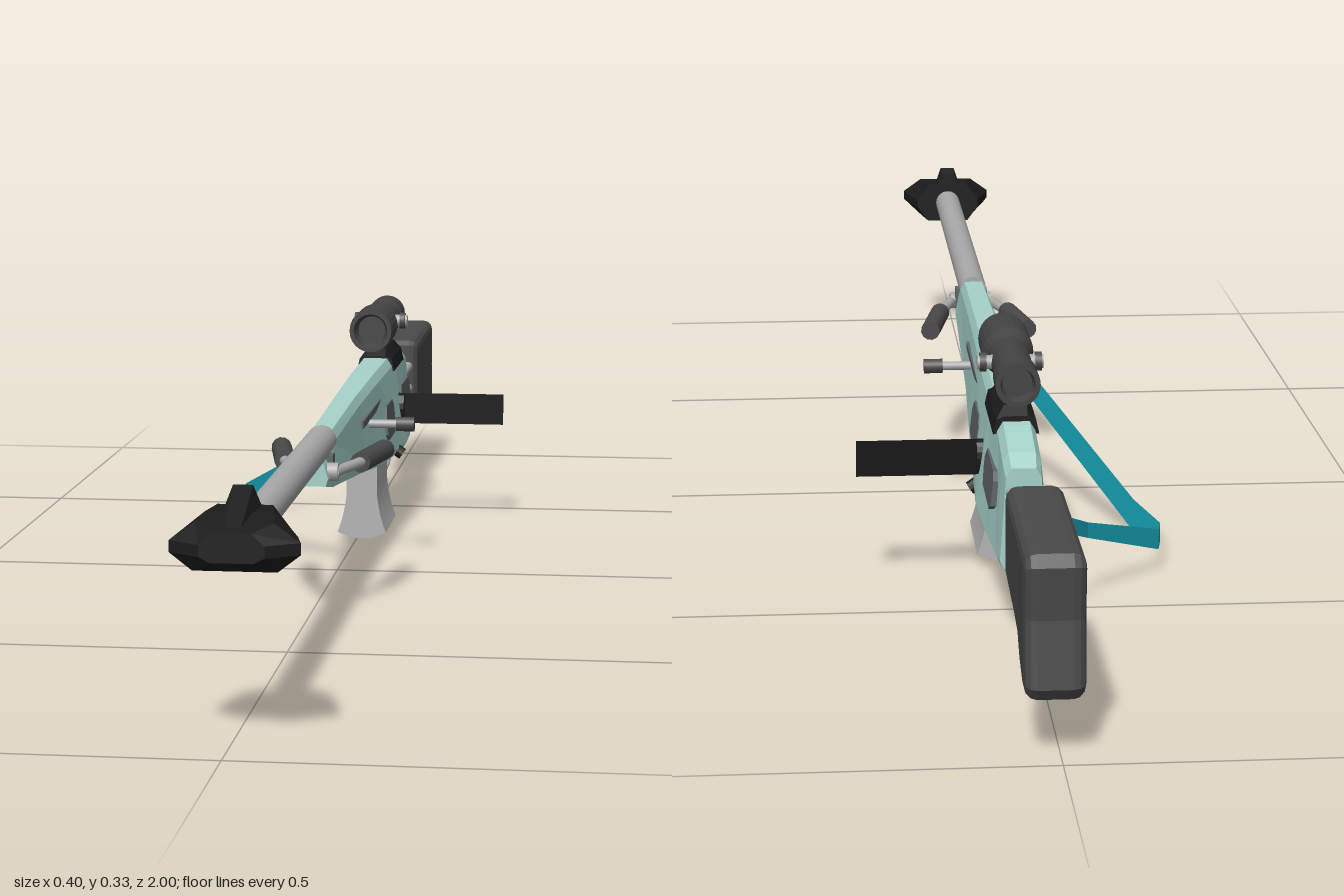
import * as THREE from 'three';

const CX = 0.0115; // centre line of the body
const mat = (color, extra = {}) => new THREE.MeshStandardMaterial({ color, ...extra });
const flat = { flatShading: true };
const M = {
  body: mat(0xa6d3cb, flat), black: mat(0x1c1c1c, flat), dark: mat(0x4a4a4a),
  panel: mat(0x606565, flat), metal: mat(0xaaaaaa), magazine: mat(0xb4b4b4, flat),
  strap: mat(0x17a5b8, { side: THREE.DoubleSide, flatShading: true }),
  plate: mat(0x111111, { side: THREE.DoubleSide }),
};

export function createModel() {
  const root = new THREE.Group();
  const add = (name, geo, material, x = CX, y = 0, z = 0) => {
    const m = new THREE.Mesh(geo, material);
    m.name = name;
    m.position.set(x, y, z);
    root.add(m);
    return m;
  };

  // Skin between cross-sections listed front to back, each counter-clockwise
  const loft = (sections) => {
    const n = sections[0].pts.length, pos = [], idx = [];
    sections.forEach(s => s.pts.forEach(([x, y]) => pos.push(x, y, s.z)));
    for (let i = 0; i < sections.length - 1; i++) for (let j = 0; j < n; j++) {
      const a = i * n + j, b = i * n + (j + 1) % n;
      idx.push(a, a + n, b, b, a + n, b + n);
    }
    const last = (sections.length - 1) * n;
    for (let j = 1; j < n - 1; j++) idx.push(0, j, j + 1, last, last + j + 1, last + j);
    const g = new THREE.BufferGeometry();
    g.setAttribute('position', new THREE.Float32BufferAttribute(pos, 3));
    g.setIndex(idx);
    g.computeVertexNormals();
    return g;
  };

  // Side outline of [z, y] points given thickness along x
  const sidePlate = (pts, width, bevel = 0) => {
    const shape = new THREE.Shape(pts.map(([z, y]) => new THREE.Vector2(-z, y)));
    const g = new THREE.ExtrudeGeometry(shape, {
      depth: width - 2 * bevel, bevelEnabled: bevel > 0, bevelSize: bevel,
      bevelThickness: bevel, bevelOffset: -bevel, bevelSegments: 3,
    });
    g.translate(0, 0, bevel - width / 2);
    return g.rotateY(Math.PI / 2);
  };

  // Rod between two points
  const rod = (name, a, b, r, material, sides = 12, r2 = r) => {
    const A = new THREE.Vector3(...a), B = new THREE.Vector3(...b), d = B.clone().sub(A);
    const m = add(name, new THREE.CylinderGeometry(r2, r, d.length(), sides), material);
    m.position.copy(A).add(B).multiplyScalar(0.5);
    m.quaternion.setFromUnitVectors(new THREE.Vector3(0, 1, 0), d.normalize());
    return m;
  };

  // Receiver: [z, bottom half width, top half width, bottom y, top y]
  add('receiver', loft([
    [0.345, 0.019, 0.015, 0.178, 0.214], [0.30, 0.024, 0.018, 0.17, 0.222],
    [0.28, 0.024, 0.018, 0.168, 0.236], [0, 0.028, 0.02, 0.138, 0.244],
    [-0.2, 0.035, 0.023, 0.115, 0.247], [-0.42, 0.043, 0.025, 0.104, 0.247],
    [-0.53, 0.037, 0.023, 0.098, 0.243], [-0.6, 0.031, 0.023, 0.095, 0.23],
    [-0.627, 0.028, 0.021, 0.095, 0.218],
  ].map(([z, b, t, y0, y1]) => ({
    z, pts: [[-b * 0.85, y0], [b * 0.85, y0], [b, y0 + 0.01], [t, y1 - 0.012],
      [t * 0.7, y1], [-t * 0.7, y1], [-t, y1 - 0.012], [-b, y0 + 0.01]],
  }))), M.body);

  // Barrel and muzzle brake
  rod('barrel', [CX, 0.224, 0.26], [CX, 0.224, 0.92], 0.0195, M.metal, 20);
  add('muzzleBrake', loft([
    [0.998, 0.035, 0.211, 0.243], [0.975, 0.07, 0.198, 0.25],
    [0.94, 0.062, 0.194, 0.255], [0.9, 0.05, 0.194, 0.256],
  ].map(([z, h, y0, y1]) => ({
    z, pts: [[-h * 0.65, y0], [h * 0.65, y0], [h, 0.217], [h, 0.23], [h * 0.6, y1],
      [-h * 0.6, y1], [-h, 0.23], [-h, 0.217]],
  }))), M.black);
  add('muzzleFin', loft([[0.985, 0.02, 0.248], [0.915, 0.024, 0.28], [0.9, 0.024, 0.272]].map(
    ([z, h, y]) => ({ z, pts: [[-h, 0.24], [h, 0.24], [h * 0.45, y], [-h * 0.45, y]] }))), M.black);

  // Side panels, right then left pair: [side, z front, z back]
  for (const [s, z0, z1] of [[1, -0.22, -0.325], [1, -0.44, -0.57], [-1, 0.01, -0.13], [-1, -0.2, -0.35]]) {
    const h = (z0 - z1) / 2, zc = (z0 + z1) / 2;
    const g = sidePlate([[h, 0.008], [h - 0.02, 0.024], [-h + 0.012, 0.024], [-h, 0.015],
      [-h, -0.016], [-h + 0.015, -0.024], [h - 0.012, -0.024], [h, -0.016]], 0.014);
    const out = zc > -0.1 ? 0.021 : zc > -0.4 ? 0.0275 : 0.0265;
    add('sidePanel', g, M.panel, CX + s * out, 0.17, zc).rotation.z = s * 0.11;
  }

  // Bolt slot, bolt handle and controls
  add('boltSlot', new THREE.BoxGeometry(0.008, 0.01, 0.38), M.panel, CX + 0.022, 0.205, -0.18);
  rod('boltHandle', [CX + 0.015, 0.196, -0.065], [0.085, 0.196, -0.065], 0.006, M.metal);
  rod('boltKnob', [0.075, 0.196, -0.065], [0.1, 0.196, -0.065], 0.01, M.dark);
  rod('selectorKnob', [CX + 0.03, 0.118, -0.342], [0.056, 0.108, -0.342], 0.009, M.black);
  const boss = rod('sideBoss', [CX + 0.02, 0.168, -0.405], [0.052, 0.168, -0.405], 0.021, M.black, 16);
  boss.scale.z = 0.55;
  add('sidePlate', new THREE.PlaneGeometry(0.165, 0.046), M.plate, 0.119, 0.168, -0.405);

  // Folded bipod
  for (const s of [-1, 1]) {
    rod('bipodHinge', [CX + s * 0.012, 0.194, 0.325], [CX + s * 0.03, 0.194, 0.325], 0.012, M.metal);
    rod('bipodLeg', [CX + s * 0.025, 0.194, 0.33], [CX + s * 0.052, 0.194, 0.24], 0.007, M.metal);
    rod('bipodFoot', [CX + s * 0.049, 0.194, 0.25], [CX + s * 0.069, 0.194, 0.14], 0.0135, M.dark);
  }
  add('bipodClamp', new THREE.BoxGeometry(0.046, 0.03, 0.022), M.panel, CX, 0.2, 0.315);

  // Flared magazine
  const mag = new THREE.Shape();
  mag.moveTo(-0.022, 0.125);
  mag.lineTo(-0.022, 0.075);
  mag.quadraticCurveTo(-0.024, 0.045, -0.035, 0.016);
  mag.quadraticCurveTo(0, -0.002, 0.035, 0.016);
  mag.quadraticCurveTo(0.024, 0.045, 0.022, 0.075);
  mag.lineTo(0.022, 0.125);
  add('magazine', new THREE.ExtrudeGeometry(mag, { depth: 0.14, bevelEnabled: false, curveSegments: 6 }),
    M.magazine, CX, 0, -0.335);

  // Trigger and guard
  const guard = new THREE.CatmullRomCurve3([[0.105, -0.45], [0.075, -0.465], [0.06, -0.49],
    [0.06, -0.54], [0.075, -0.58], [0.1, -0.6]].map(([y, z]) => new THREE.Vector3(0, y, z)));
  add('triggerGuard', new THREE.TubeGeometry(guard, 24, 0.0045, 8), M.metal);
  add('trigger', sidePlate([[-0.512, 0.11], [-0.527, 0.11], [-0.522, 0.09], [-0.513, 0.073],
    [-0.514, 0.09]], 0.01), M.black);

  // Stock on four rods
  for (const s of [-1, 1]) for (const y of [0.153, 0.188])
    rod('stockRod', [CX + s * 0.014, y, -0.61], [CX + s * 0.014, y, -0.74], 0.0075, M.metal);
  add('stock', sidePlate([[-0.725, 0.222], [-0.733, 0.229], [-0.985, 0.232], [-0.998, 0.22],
    [-0.992, 0.16], [-1, 0.085], [-0.99, 0.071], [-0.965, 0.072], [-0.925, 0.086], [-0.9, 0.105],
    [-0.86, 0.11], [-0.735, 0.117], [-0.725, 0.125]], 0.067, 0.014), M.dark, 0.008);

  // Scope with hollow ends, turrets and mount
  const tube = [[0, 0.10], [0.02, 0.10], [0.025, 0.12], [0.031, 0.12], [0.032, 0.11], [0.032, 0.04],
    [0.025, 0.02], [0.024, -0.06], [0.027, -0.075], [0.027, -0.12], [0.021, -0.12], [0.018, -0.105],
    [0, -0.105]].reverse().map(([r, y]) => new THREE.Vector2(r, y));
  add('scope', new THREE.LatheGeometry(tube, 24).rotateX(Math.PI / 2),
    mat(0x444444, flat), CX, 0.296, -0.424);
  rod('scopeTurret', [-0.028, 0.297, -0.435], [0.053, 0.297, -0.435], 0.009, M.metal);
  for (const x of [-0.022, 0.046]) rod('turretCap', [x - 0.004, 0.297, -0.435], [x + 0.004, 0.297, -0.435], 0.012, M.dark);
  for (const z of [-0.41, -0.475]) add('scopePost', new THREE.BoxGeometry(0.02, 0.035, 0.012), M.metal, CX, 0.262, z);
  add('scopeMount', loft([-0.375, -0.39, -0.5, -0.515].map((z, i) => {
    const y = i % 3 ? 0.26 : 0.25;
    return { z, pts: [[-0.028, 0.228], [0.028, 0.228], [0.024, 0.246], [0.014, y], [-0.014, y], [-0.024, 0.246]] };
  })), M.black);

  // Sling ribbon: [x, z, lower y, upper y]
  const sling = [[-0.018, 0.03, 0.17, 0.205], [-0.17, -0.205, 0.001, 0.045], [-0.2, -0.25, 0, 0.026],
    [-0.183, -0.365, 0.028, 0.055], [-0.08, -0.48, 0.083, 0.103], [-0.018, -0.6, 0.135, 0.157]];
  const pos = [], idx = [];
  sling.forEach(([x, z, y0, y1], i) => {
    pos.push(x, y0, z, x, y1, z);
    if (i) idx.push(2 * i - 2, 2 * i, 2 * i - 1, 2 * i - 1, 2 * i, 2 * i + 1);
  });
  const ribbon = new THREE.BufferGeometry();
  ribbon.setAttribute('position', new THREE.Float32BufferAttribute(pos, 3));
  ribbon.setIndex(idx);
  ribbon.computeVertexNormals();
  add('sling', ribbon, M.strap, 0);
  for (const [z, y] of [[0.03, 0.186], [-0.6, 0.146]])
    rod('slingStud', [-0.022, y, z], [0, y, z], 0.012, M.black);

  return root;
}
